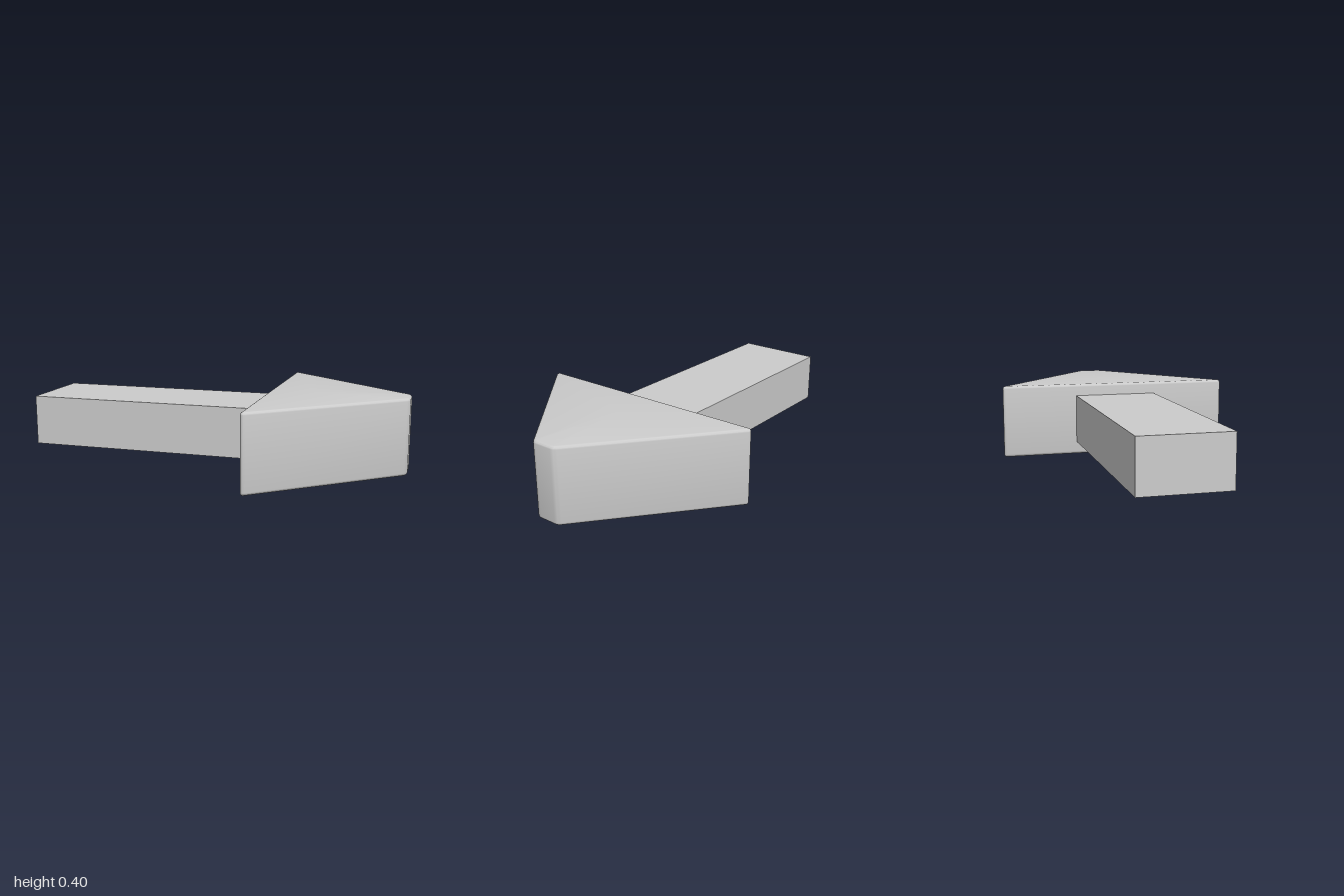
import * as THREE from 'three';
import { toCreasedNormals } from 'three/addons/utils/BufferGeometryUtils.js';

const HEIGHT = 0.4, BEVEL = 0.015, STEPS = 4;
const SLANT = THREE.MathUtils.degToRad(50.7); // direction the slanted sides face

// Corners of the arrowhead: arc centre, arc radius, start and end angle
const corners = [
  { x: 0.96, z: 0.045, r: 0.04, from: 0, to: SLANT },
  { x: 0.29, z: 0.625, r: BEVEL, from: SLANT, to: Math.PI },
  { x: 0.29, z: -0.625, r: BEVEL, from: Math.PI, to: 2 * Math.PI - SLANT },
  { x: 0.96, z: -0.045, r: 0.04, from: 2 * Math.PI - SLANT, to: 2 * Math.PI },
];

// Outline of the head drawn in by a given amount, at height y
function ring(inset, y) {
  const points = [];
  for (const c of corners) {
    for (let i = 0; i <= STEPS; i++) {
      const a = THREE.MathUtils.lerp(c.from, c.to, i / STEPS);
      points.push([c.x + (c.r - inset) * Math.cos(a), y, c.z + (c.r - inset) * Math.sin(a)]);
    }
  }
  return points;
}

// Triangular head with softly rounded edges, lofted from bottom to top
function headGeometry() {
  const rings = [];
  for (const top of [false, true]) {
    for (let i = 0; i <= STEPS; i++) {
      const a = (top ? i : STEPS - i) / STEPS * Math.PI / 2;
      const lift = BEVEL * (1 - Math.sin(a));
      rings.push(ring(BEVEL * (1 - Math.cos(a)), top ? HEIGHT - lift : lift));
    }
  }
  const n = rings[0].length, last = rings.length - 1;
  const positions = [], index = [];
  rings.forEach((r) => r.forEach((p) => positions.push(...p)));
  const bottom = rings.length * n, top = bottom + 1;
  positions.push(0.5, 0, 0, 0.5, HEIGHT, 0);
  for (let i = 0; i < n; i++) {
    const j = (i + 1) % n;
    for (let k = 0; k < last; k++) {
      const a = k * n + i, b = k * n + j;
      index.push(a, a + n, b, b, a + n, b + n);
    }
    index.push(bottom, i, j, top, last * n + j, last * n + i);
  }
  const geometry = new THREE.BufferGeometry();
  geometry.setAttribute('position', new THREE.Float32BufferAttribute(positions, 3));
  geometry.setIndex(index);
  return toCreasedNormals(geometry, 0.75);
}

export function createModel() {
  const group = new THREE.Group();
  group.name = 'arrow';
  const material = new THREE.MeshStandardMaterial({ color: 0xcccccc });

  const head = new THREE.Mesh(headGeometry(), material);
  head.name = 'arrowHead';

  // Plain square-edged shaft, butting against the back of the head
  const shaft = new THREE.Mesh(new THREE.BoxGeometry(1.28, 0.265, 0.456), material);
  shaft.name = 'shaft';
  shaft.position.set(-0.36, 0.203, 0);

  group.add(head, shaft);
  return group;
}
